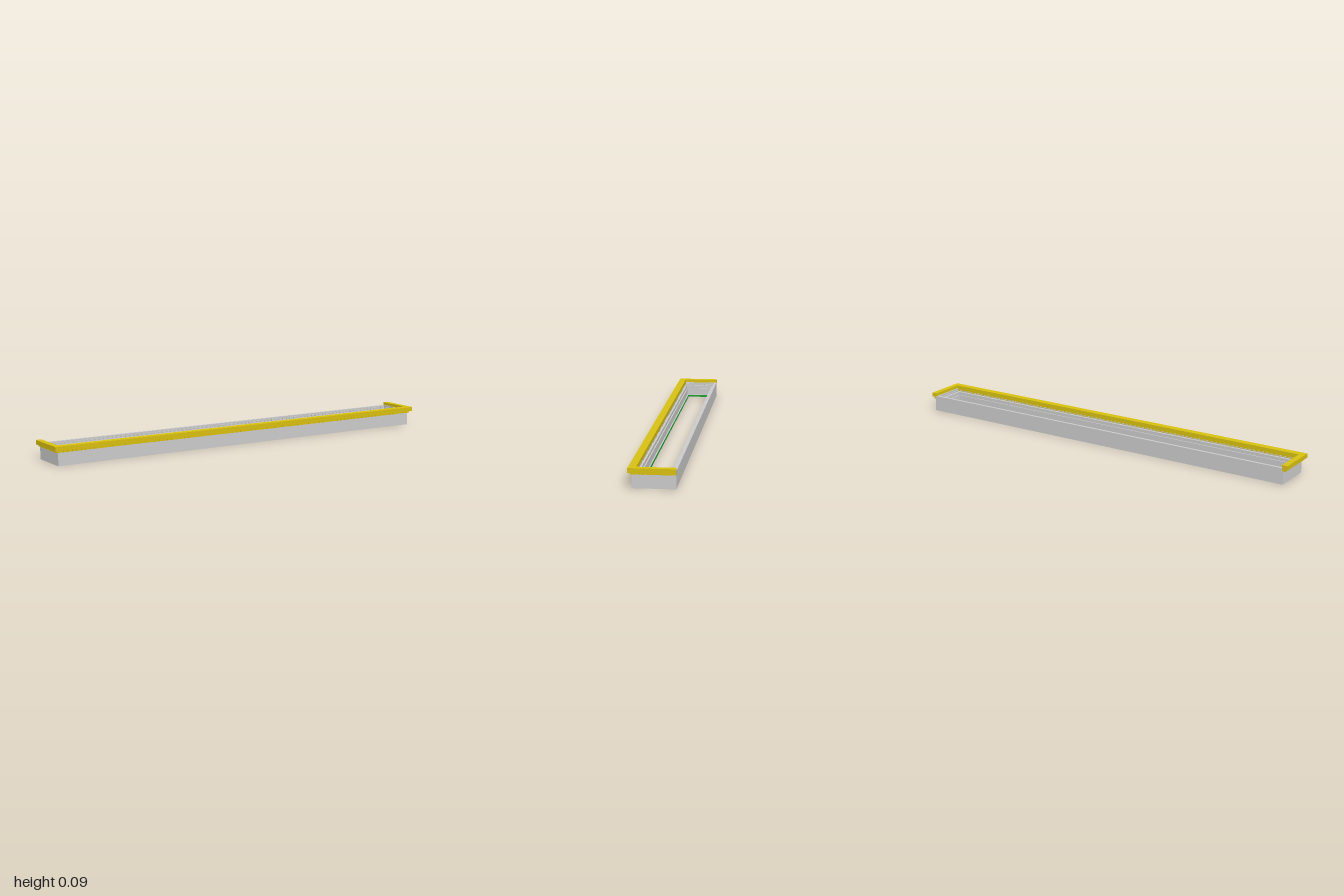
import * as THREE from 'three';

const grey = new THREE.MeshStandardMaterial({ color: 0xcccccc, flatShading: true });
const yellow = new THREE.MeshStandardMaterial({ color: 0xd8c010, flatShading: true });
const green = new THREE.MeshStandardMaterial({ color: 0x20a030, flatShading: true });

const X = 0.98, BACK = -0.1, FRONT = 0.085; // outer faces of the walls

// Upright extrusion of a plan outline given as [x, z] points
function slab(name, points, holePoints, y0, y1, material) {
  const toVectors = (list) => list.map(([x, z]) => new THREE.Vector2(x, -z));
  const shape = new THREE.Shape(toVectors(points));
  if (holePoints) shape.holes.push(new THREE.Path(toVectors(holePoints)));
  const geometry = new THREE.ExtrudeGeometry(shape, { depth: y1 - y0, bevelEnabled: false });
  geometry.rotateX(-Math.PI / 2).translate(0, y0, 0);
  const mesh = new THREE.Mesh(geometry, material);
  mesh.name = name;
  return mesh;
}

// Rectangle inset from the outer wall faces
const rect = (d) => [[-X + d, FRONT - d], [X - d, FRONT - d], [X - d, BACK + d], [-X + d, BACK + d]];

// U-shaped strip round the two ends and the front
function trim(name, x, z, xi, zi, y0, y1) {
  return slab(name, [[-x, BACK], [-x, z], [x, z], [x, BACK], [xi, BACK], [xi, zi], [-xi, zi], [-xi, BACK]],
    null, y0, y1, yellow);
}

// Row of small blocks between two plan points
function dentilRow(name, from, to, y, size, material) {
  const a = new THREE.Vector3(from[0], y, from[1]);
  const b = new THREE.Vector3(to[0], y, to[1]);
  const count = Math.max(2, Math.round(a.distanceTo(b) / 0.022));
  const row = new THREE.InstancedMesh(new THREE.BoxGeometry(...size), material, count);
  const matrix = new THREE.Matrix4();
  for (let i = 0; i < count; i++) {
    const p = a.clone().lerp(b, (i + 0.5) / count);
    row.setMatrixAt(i, matrix.makeTranslation(p.x, p.y, p.z));
  }
  row.name = name;
  return row;
}

export function createModel() {
  const model = new THREE.Group();
  model.name = 'corniceFrame';

  // Wall ring, stepped inward towards the bottom opening
  const tiers = [
    ['bottomLip', 0.035, 0, 0.012],
    ['lowerWall', 0.03, 0.012, 0.045],
    ['innerLedge', 0.025, 0.045, 0.06],
    ['upperWall', 0.012, 0.06, 0.076],
  ];
  for (const [name, inset, y0, y1] of tiers) {
    model.add(slab(name, rect(0), rect(inset), y0, y1, grey));
  }

  // Thin coloured edge lining the opening
  model.add(slab('openingLining', rect(0.0345), rect(0.037), 0.002, 0.011, green));

  // Projecting yellow cornice
  model.add(trim('corniceTop', 1, 0.1, 0.973, 0.067, 0.07, 0.09));
  model.add(trim('corniceStep', 0.988, 0.091, 0.975, 0.07, 0.061, 0.07));

  // Fine blocks under the cornice
  model.add(dentilRow('frontDentils', [-0.985, 0.0905], [0.985, 0.0905], 0.0655, [0.013, 0.009, 0.005], yellow));
  for (const side of [-1, 1]) {
    model.add(dentilRow('endDentils', [side * 0.988, BACK], [side * 0.988, 0.09], 0.0655, [0.005, 0.009, 0.013], yellow));
  }

  // Fine blocks standing on the inner ledge
  for (const z of [BACK + 0.0145, FRONT - 0.0145]) {
    model.add(dentilRow('innerDentils', [-0.96, z], [0.96, z], 0.064, [0.012, 0.008, 0.005], grey));
  }
  for (const side of [-1, 1]) {
    const x = side * (X - 0.0145);
    model.add(dentilRow('innerEndDentils', [x, BACK + 0.02], [x, FRONT - 0.02], 0.064, [0.005, 0.008, 0.012], grey));
  }
  return model;
}
